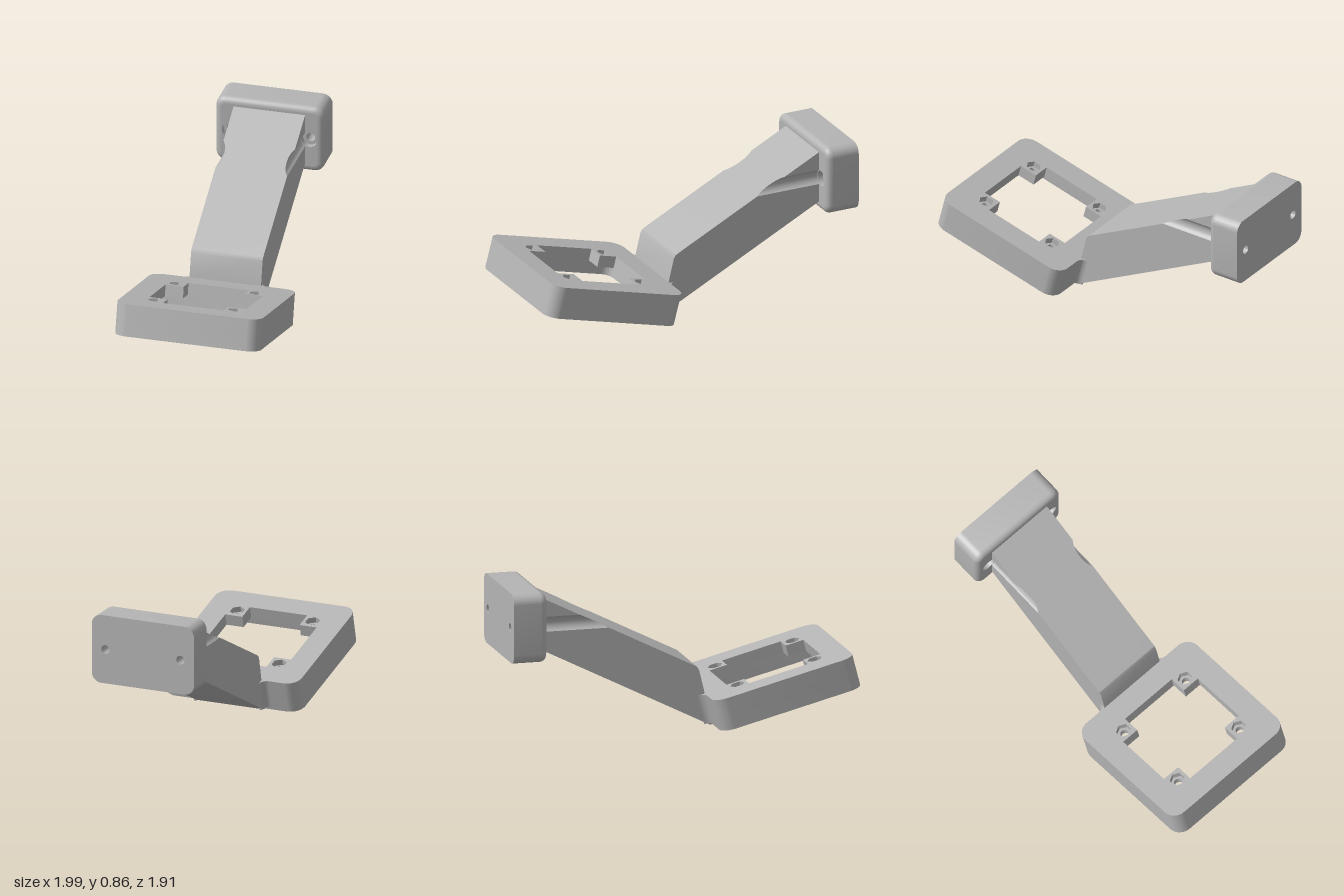
import * as THREE from 'three';
import { toCreasedNormals } from 'three/addons/utils/BufferGeometryUtils.js';

const TILT = THREE.MathUtils.degToRad(14.5);
const HEADING = THREE.MathUtils.degToRad(42.5);
const SIDE = 0.866, THICK = 0.19;           // tilted frame
const ARM_HALF = 0.213;                     // half width of the arm
const BOLT_V = 0.237, BOLT_Y = 0.655;       // wall bolts

function roundedRect(hw, hh, r, PathType = THREE.Shape) {
  const p = new PathType();
  p.moveTo(hw, -hh + r);
  p.absarc(hw - r, hh - r, r, 0, Math.PI / 2);
  p.absarc(-hw + r, hh - r, r, Math.PI / 2, Math.PI);
  p.absarc(-hw + r, -hh + r, r, Math.PI, Math.PI * 1.5);
  p.absarc(hw - r, -hh + r, r, Math.PI * 1.5, Math.PI * 2);
  return p;
}

function polygonHole(x, y, r, sides) {
  const pts = [];
  for (let i = 0; i < sides; i++) {
    const a = (i / sides) * Math.PI * 2;
    pts.push(new THREE.Vector2(x + r * Math.cos(a), y + r * Math.sin(a)));
  }
  return new THREE.Path(pts);
}

function extrude(shape, from, to) {
  const g = new THREE.ExtrudeGeometry(shape, { depth: to - from, bevelEnabled: false, curveSegments: 10 });
  return toCreasedNormals(g.translate(0, 0, from), 0.6);
}

// Skin over counter-clockwise rings stacked along +z
function loft(rings, capped) {
  const pos = [];
  const tri = (...v) => v.forEach((p) => pos.push(p.x, p.y, p.z));
  const n = rings[0].length;
  for (let i = 0; i < rings.length - 1; i++) {
    for (let j = 0; j < n; j++) {
      const k = (j + 1) % n, lo = rings[i], hi = rings[i + 1];
      tri(lo[j], lo[k], hi[k]);
      tri(lo[j], hi[k], hi[j]);
    }
  }
  if (capped) {
    const lo = rings[0], hi = rings[rings.length - 1];
    for (let j = 1; j < n - 1; j++) {
      tri(lo[0], lo[j + 1], lo[j]);
      tri(hi[0], hi[j], hi[j + 1]);
    }
  }
  const g = new THREE.BufferGeometry();
  g.setAttribute('position', new THREE.Float32BufferAttribute(pos, 3));
  return toCreasedNormals(g, 0.5);
}

// Piecewise linear lookup of u for a height y
function along(points, y) {
  for (let i = 1; i < points.length; i++) {
    const [u0, y0] = points[i - 1], [u1, y1] = points[i];
    if (y <= y1 + 1e-6) return u0 + ((u1 - u0) * (y - y0)) / (y1 - y0);
  }
  return points[points.length - 1][0];
}

export function createModel() {
  const grey = new THREE.MeshStandardMaterial({ color: 0xb4b4b4 });
  const root = new THREE.Group();
  root.name = 'angledBracket';
  const bracket = new THREE.Group();
  bracket.name = 'bracketBody';
  bracket.rotation.y = HEADING;
  bracket.position.set(-0.01 * Math.sin(HEADING), 0, -0.01 * Math.cos(HEADING));
  root.add(bracket);

  const add = (parent, name, geometry) => {
    const m = new THREE.Mesh(geometry, grey);
    m.name = name;
    parent.add(m);
    return m;
  };

  // Tilted square frame, hollow underneath
  const frame = new THREE.Group();
  frame.name = 'tiltedFrame';
  frame.rotation.z = -TILT;
  frame.position.set(-0.16 - (SIDE / 2) * Math.cos(TILT), (SIDE / 2) * Math.sin(TILT), 0);
  bracket.add(frame);
  const h = SIDE / 2;
  const flat = (name, shape, from, to) => {
    add(frame, name, extrude(shape, from, to)).rotation.x = -Math.PI / 2;
  };

  const rim = roundedRect(h, h, 0.08);
  rim.holes.push(roundedRect(h - 0.025, h - 0.025, 0.055, THREE.Path));
  flat('frameRim', rim, 0, 0.12);

  // Panel with a cross-shaped opening that leaves four corner tabs
  const a = 0.289, b = 0.181;
  const cross = [[a, -b], [a, b], [b, b], [b, a], [-b, a], [-b, b],
    [-a, b], [-a, -b], [-b, -b], [-b, -a], [b, -a], [b, -b]];
  const panel = (radius, sides) => {
    const s = roundedRect(h, h, 0.08);
    s.holes.push(new THREE.Path(cross.map(([x, y]) => new THREE.Vector2(x, y))));
    for (const x of [-0.238, 0.238]) {
      for (const y of [-0.238, 0.238]) s.holes.push(polygonHole(x, y, radius, sides));
    }
    return s;
  };
  flat('panelWithScrewHoles', panel(0.024, 20), 0.12, 0.155);
  flat('panelWithNutPockets', panel(0.044, 6), 0.155, THICK);

  // Concave fillets where the arm leaves the frame
  for (const s of [-1, 1]) {
    const r = 0.045, f = new THREE.Shape();
    f.moveTo(h - 0.01, s * 0.2);
    f.lineTo(h + r, s * 0.2);
    f.lineTo(h + r, s * ARM_HALF);
    f.absarc(h + r, s * (ARM_HALF + r), r, -s * Math.PI / 2, -s * Math.PI, s > 0);
    f.lineTo(h - 0.01, s * (ARM_HALF + r));
    flat('armFillet', f, 0.015, THICK);
  }

  // Sloping arm, stacked in level slices, with a bolt groove in each side
  const upper = [[-0.165, 0], [-0.112, 0.19], [-0.08, 0.325], [-0.068, 0.345], [-0.04, 0.36], [0.86, 0.813]];
  const lower = [[-0.14, 0], [0.86, 0.505], [0.86, 0.813]];
  const levels = [0, 0.19, 0.325, 0.345, 0.36, 0.505].map((y) => [y, ARM_HALF]);
  const grooveR = 0.05, reach = Math.acos((BOLT_V - ARM_HALF) / grooveR);
  for (let i = 0; i <= 14; i++) {
    const t = reach * (i / 7 - 1);
    levels.push([BOLT_Y + grooveR * Math.sin(t), BOLT_V - grooveR * Math.cos(t)]);
  }
  levels.push([0.813, ARM_HALF]);
  const slices = levels.map(([y, w]) => {
    const u0 = along(upper, y), u1 = along(lower, y);
    return [[u0, -w], [u1, -w], [u1, w], [u0, w]].map(([u, v]) => new THREE.Vector3(u, v, y));
  });
  add(bracket, 'arm', loft(slices, true)).rotation.x = -Math.PI / 2;

  // Wall block with two bolt holes, rounded on the arm side
  const block = new THREE.Group();
  block.name = 'wallBlock';
  block.rotation.y = Math.PI / 2;
  block.position.set(0.855, BOLT_Y, 0);
  bracket.add(block);
  const HW = 0.323, HH = 0.205, CR = 0.06, EDGE = 0.035;
  const body = roundedRect(HW, HH, CR);
  const face = roundedRect(HW - EDGE, HH - EDGE, CR - EDGE);
  for (const v of [-BOLT_V, BOLT_V]) {
    body.holes.push(polygonHole(v, 0, 0.026, 20));
    face.holes.push(polygonHole(v, 0, 0.046, 24));
    const bore = new THREE.CylinderGeometry(0.046, 0.046, EDGE, 24, 1, true);
    bore.rotateX(Math.PI / 2).translate(v, 0, EDGE / 2);
    bore.index.array.reverse(); // faces inward
    const n = bore.attributes.normal;
    for (let i = 0; i < n.count; i++) n.setXYZ(i, -n.getX(i), -n.getY(i), -n.getZ(i));
    add(block, 'boltRecess', bore);
  }
  add(block, 'blockBody', extrude(body, EDGE, 0.2));
  add(block, 'blockInnerFace', new THREE.ShapeGeometry(face)).rotation.y = Math.PI;
  const rings = [];
  for (let i = 0; i <= 5; i++) {
    const t = (i / 5) * Math.PI / 2, inset = EDGE * (1 - Math.sin(t)), z = EDGE * (1 - Math.cos(t));
    rings.push(roundedRect(HW - inset, HH - inset, CR - inset).getPoints(10)
      .map((p) => new THREE.Vector3(p.x, p.y, z)));
  }
  add(block, 'blockRoundedEdge', loft(rings, false));

  return root;
}
